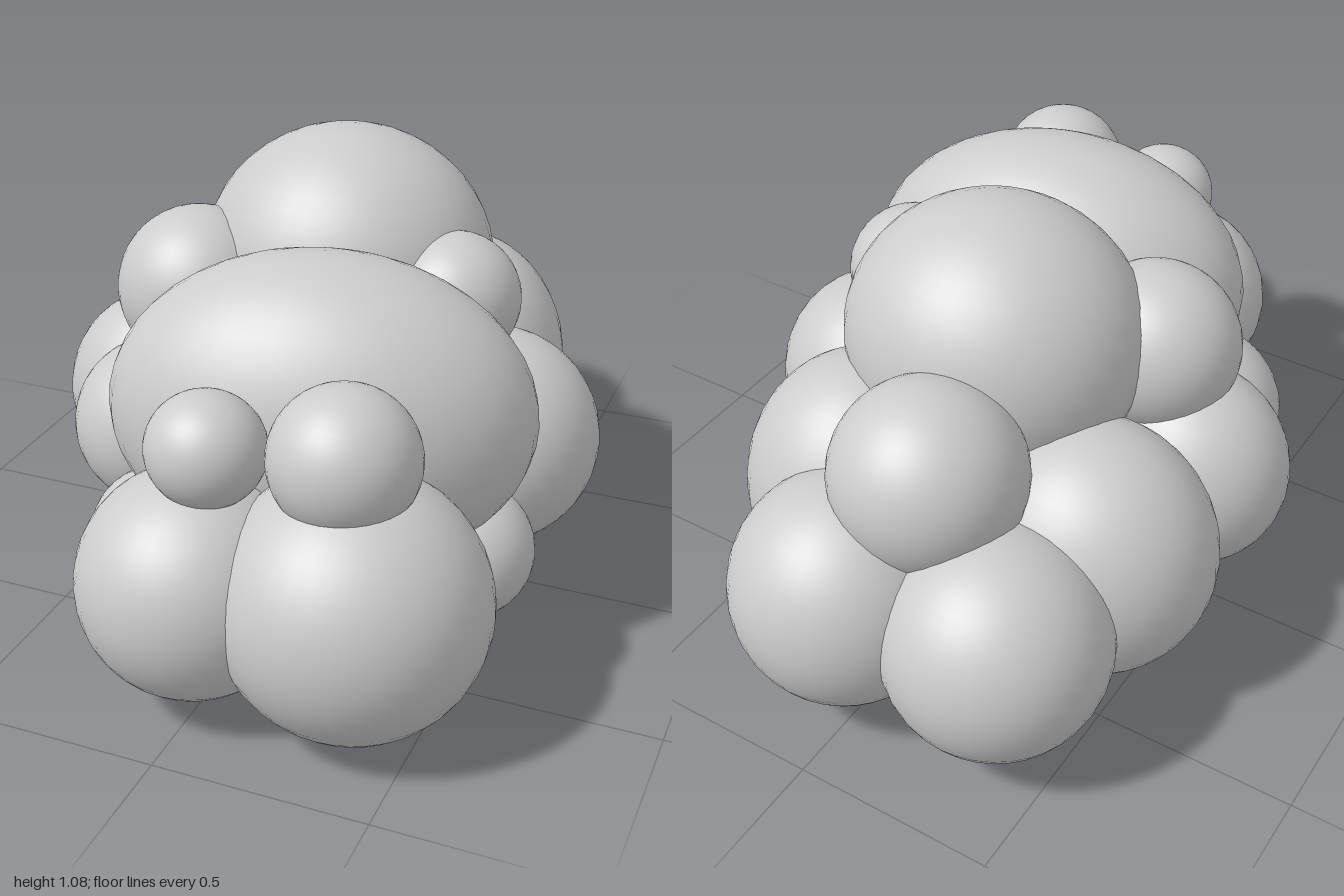
import * as THREE from 'three';

export function createModel() {
  const cloud = new THREE.Group();
  cloud.name = 'cloud';
  const cloudGrey = new THREE.MeshStandardMaterial({ color: 0xcccccc });
  cloudGrey.name = 'cloudGrey';

  // Puffs: name, centre, radii, turn about y
  const puffs = [
    ['frontLeftPuff', [0.34, 0.31, 0.69], [0.31, 0.305, 0.305]],
    ['frontRightPuff', [-0.02, 0.305, 0.73], [0.265, 0.265, 0.265]],
    ['smallFrontTuft', [0.02, 0.64, 0.73], [0.135, 0.13, 0.13]],
    ['largeFrontTuft', [0.32, 0.655, 0.69], [0.167, 0.165, 0.165]],
    ['middlePuff', [0.125, 0.57, 0.34], [0.5, 0.38, 0.325], 0.2],
    ['crownPuff', [-0.01, 0.735, -0.17], [0.37, 0.345, 0.345]],
    ['upperRightPuff', [-0.325, 0.69, 0.045], [0.208, 0.208, 0.2]],
    ['upperLeftPuff', [0.315, 0.73, -0.04], [0.162, 0.162, 0.162]],
    ['leftPuff', [0.42, 0.375, -0.05], [0.267, 0.272, 0.262]],
    ['lowLeftPuff', [0.46, 0.235, 0.27], [0.165, 0.165, 0.165]],
    ['backLeftPuff', [0.19, 0.385, -0.44], [0.297, 0.345, 0.29]],
    ['backPuff', [0.05, 0.345, -0.73], [0.272, 0.285, 0.27]],
    ['backRightPuff', [-0.33, 0.33, -0.68], [0.27, 0.275, 0.27]],
    ['backTuft', [-0.095, 0.64, -0.585], [0.23, 0.228, 0.228]],
    ['rightPuff', [-0.37, 0.37, -0.34], [0.312, 0.32, 0.285]],
    ['middleRightPuff', [-0.435, 0.38, 0.03], [0.257, 0.265, 0.23]],
    ['frontSidePuff', [-0.36, 0.39, 0.22], [0.213, 0.213, 0.213]],
    ['lowRightPuff', [-0.25, 0.225, 0.46], [0.162, 0.158, 0.16]],
  ];
  const sphere = new THREE.SphereGeometry(1, 36, 24);
  for (const [name, centre, radii, turn = 0] of puffs) {
    const puff = new THREE.Mesh(sphere, cloudGrey);
    puff.name = name;
    puff.position.set(...centre);
    puff.scale.set(...radii);
    puff.rotation.y = turn;
    cloud.add(puff);
  }

  // Flat base: a rounded slab with softened edges
  const x = 0.385, front = 0.6, back = -0.69, r = 0.26;
  const outline = new THREE.Shape();
  outline.absarc(x - r, front - r, r, 0, Math.PI / 2);
  outline.absarc(-x + r, front - r, r, Math.PI / 2, Math.PI);
  outline.absarc(-x + r, back + r, r, Math.PI, Math.PI * 1.5);
  outline.absarc(x - r, back + r, r, Math.PI * 1.5, Math.PI * 2);
  const slab = new THREE.ExtrudeGeometry(outline, {
    depth: 0.015, bevelThickness: 0.03, bevelSize: 0.03, bevelSegments: 4, curveSegments: 10,
  });
  slab.rotateX(Math.PI / 2).translate(0, 0.045, 0);
  const base = new THREE.Mesh(slab, cloudGrey);
  base.name = 'flatBase';
  cloud.add(base);

  return cloud;
}
